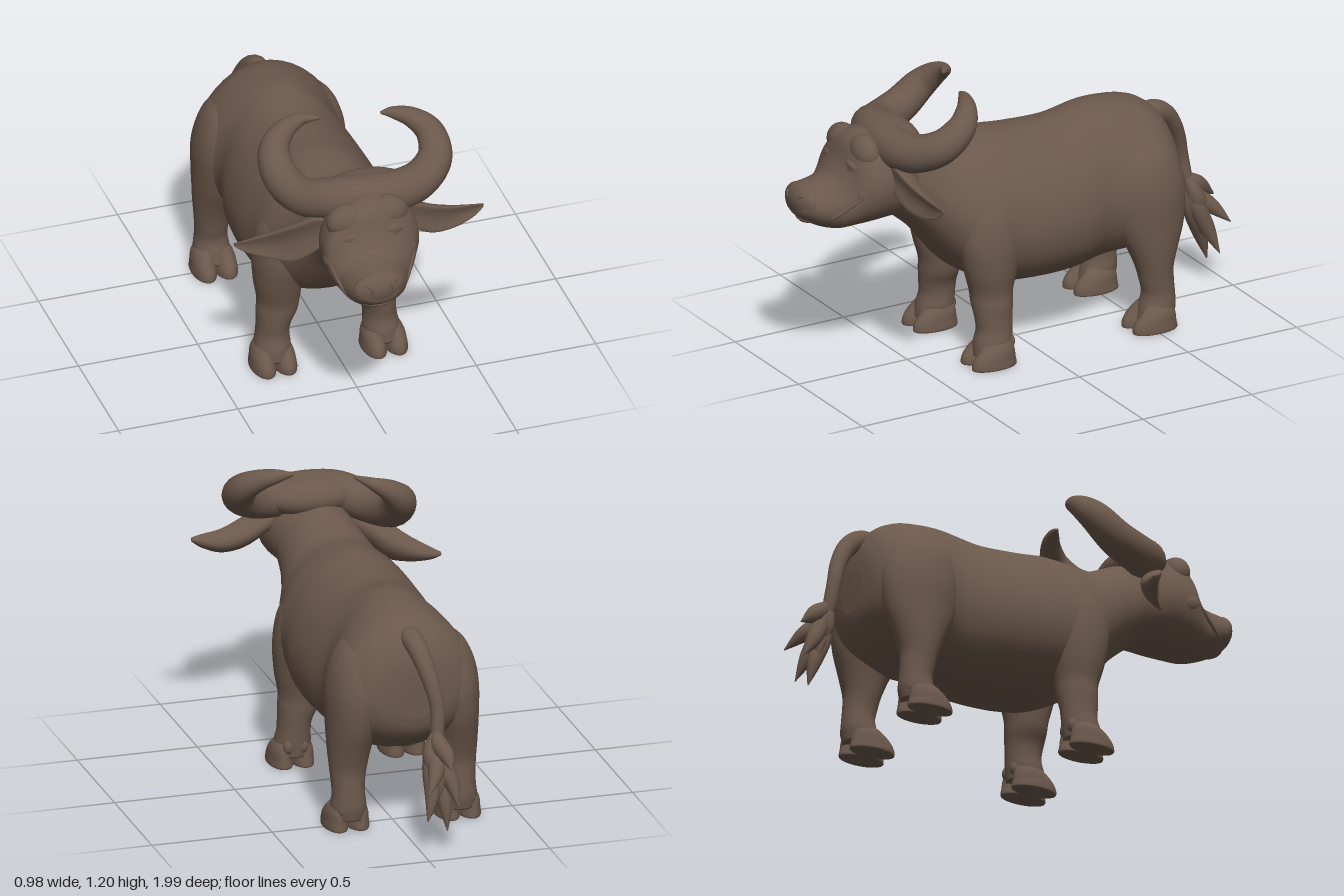
import * as THREE from 'three';

const V = (x, y, z) => new THREE.Vector3(x, y, z);
const hide = new THREE.MeshStandardMaterial({ color: 0x6b584b });
hide.name = 'brown hide';
const MID = -0.035; // the body stands slightly to one side

// Smoothly interpolate rows of numbers
function smooth(rows, steps = 5) {
  const out = [];
  for (let i = 0; i < rows.length - 1; i++) {
    const p = [rows[Math.max(i - 1, 0)], rows[i], rows[i + 1], rows[Math.min(i + 2, rows.length - 1)]];
    for (let s = 0; s < steps; s++) {
      const t = s / steps;
      out.push(rows[i].map((_, k) => {
        const [a, b, c, d] = p.map(r => r[k]);
        return b + 0.5 * t * (c - a + t * (2 * a - 5 * b + 4 * c - d + t * (3 * (b - c) + d - a)));
      }));
    }
  }
  out.push(rows[rows.length - 1]);
  return out;
}

// Skin a closed surface over rings of points, always facing outward
function loft(name, rings) {
  const n = rings[0].length, pts = rings.flat(), idx = [];
  for (let i = 0; i < rings.length - 1; i++) {
    for (let j = 0; j < n; j++) {
      const a = i * n + j, b = i * n + (j + 1) % n;
      idx.push(a, b, a + n, b, b + n, a + n);
    }
  }
  [0, rings.length - 1].forEach(r => {
    const c = pts.length;
    pts.push(rings[r].reduce((s, p) => s.add(p), V(0, 0, 0)).divideScalar(n));
    for (let j = 0; j < n; j++) {
      const a = r * n + j, b = r * n + (j + 1) % n;
      if (r === 0) idx.push(c, b, a); else idx.push(c, a, b);
    }
  });
  let volume = 0;
  for (let i = 0; i < idx.length; i += 3) {
    volume += pts[idx[i]].dot(V(0, 0, 0).crossVectors(pts[idx[i + 1]], pts[idx[i + 2]]));
  }
  if (volume < 0) idx.reverse();
  const g = new THREE.BufferGeometry().setFromPoints(pts);
  g.setIndex(idx);
  g.computeVertexNormals();
  const m = new THREE.Mesh(g, hide);
  m.name = name;
  return m;
}

const circle = (n, f) => Array.from({ length: n }, (_, j) => f(Math.cos(j / n * 2 * Math.PI), Math.sin(j / n * 2 * Math.PI)));

// Loft along z; rows are [z, centreX, top, bottom, halfWidth]
const alongZ = (name, rows, taper) => loft(name, smooth(rows).map(([z, x, top, bot, w]) =>
  circle(36, (c, s) => V(x + w * c * (1 - taper * s), (top + bot) / 2 + (top - bot) / 2 * s, z))));

// Loft along y; rows are [y, x, z, radiusX, radiusZ]
const alongY = (name, rows) => loft(name, smooth(rows).map(([y, x, z, rx, rz]) =>
  circle(24, (c, s) => V(x + rx * c, y, z + rz * s))));

// Tapered round tube; rows are [x, y, z, radius]
function tapered(name, rows, n = 16, steps = 6) {
  const path = smooth(rows, steps), P = path.map(r => V(r[0], r[1], r[2]));
  let u = null;
  return loft(name, path.map((r, i) => {
    const t = P[Math.min(i + 1, P.length - 1)].clone().sub(P[Math.max(i - 1, 0)]).normalize();
    if (!u) u = Math.abs(t.y) < 0.8 ? V(0, 1, 0) : V(0, 0, 1);
    u = u.clone().addScaledVector(t, -u.dot(t)).normalize();
    const v = t.clone().cross(u);
    return circle(n, (c, s) => P[i].clone().addScaledVector(u, r[3] * c).addScaledVector(v, r[3] * s));
  }));
}

function ball(name, pos, size, roll = 0) {
  const m = new THREE.Mesh(new THREE.SphereGeometry(1, 24, 16), hide);
  m.name = name;
  m.position.set(...pos);
  m.scale.set(...size);
  m.rotation.z = roll;
  return m;
}

// Cupped leaf ear, edges curling forward; rows are [x, y, z, halfHeight, thickness]
const ear = (name, rows) => loft(name, smooth(rows).map(([x, y, z, h, t]) =>
  circle(24, (c, s) => V(x, y + h * c, z + t * s + 0.6 * h * (c * c - 0.5)))));

// Leg with a cloven hoof and dewclaws
function leg(name, side, rows, hoofZ) {
  const g = new THREE.Group();
  g.name = name;
  const X = x => MID + side * (x - MID);
  g.add(alongY(name + 'Limb', rows.map(([y, x, ...r]) => [y, X(x), ...r])));
  for (const d of [-1, 1]) {
    const x = X(0.197 + d * 0.044);
    g.add(alongY('hoofToe', [
      [0.004, x, hoofZ, 0.036, 0.085], [0.008, x, hoofZ, 0.049, 0.099], [0.04, x, hoofZ, 0.047, 0.094],
      [0.075, x, hoofZ - 0.012, 0.042, 0.077], [0.105, X(0.197 + d * 0.036), hoofZ - 0.022, 0.034, 0.058],
      [0.13, X(0.197 + d * 0.025), hoofZ - 0.03, 0.015, 0.03]]));
    g.add(ball('dewclaw', [X(0.197 + d * 0.03), 0.095, hoofZ - 0.08], [0.022, 0.03, 0.02]));
  }
  return g;
}

export function createModel() {
  const model = new THREE.Group();
  model.name = 'buffalo';

  // Torso and neck
  model.add(alongZ('body', [
    [-0.70, MID, 0.68, 0.50, 0.08], [-0.685, MID, 0.77, 0.44, 0.165], [-0.64, MID, 0.85, 0.385, 0.242],
    [-0.56, MID, 0.903, 0.335, 0.29], [-0.45, MID, 0.925, 0.295, 0.29], [-0.33, MID, 0.93, 0.28, 0.264],
    [-0.18, MID, 0.90, 0.26, 0.294], [0, MID, 0.905, 0.26, 0.303], [0.12, MID, 0.918, 0.275, 0.292],
    [0.22, MID, 0.91, 0.315, 0.285], [0.32, MID, 0.90, 0.38, 0.25], [0.40, -0.03, 0.93, 0.47, 0.21],
    [0.48, -0.02, 0.97, 0.565, 0.18], [0.58, -0.01, 1.0, 0.65, 0.16], [0.66, 0, 0.98, 0.69, 0.12]], 0.15));

  // Legs, mirrored about the middle of the body
  const fore = [[0.05, 0.195, 0.225, 0.07, 0.08], [0.10, 0.193, 0.22, 0.074, 0.08], [0.15, 0.19, 0.212, 0.068, 0.075],
    [0.20, 0.185, 0.212, 0.07, 0.079], [0.255, 0.172, 0.212, 0.083, 0.085], [0.31, 0.165, 0.212, 0.087, 0.09],
    [0.40, 0.168, 0.215, 0.098, 0.112], [0.52, 0.165, 0.215, 0.105, 0.135], [0.64, 0.15, 0.21, 0.1, 0.13],
    [0.72, 0.12, 0.2, 0.085, 0.1], [0.78, 0.08, 0.19, 0.04, 0.05]];
  const hind = [[0.05, 0.195, -0.525, 0.07, 0.078], [0.10, 0.195, -0.535, 0.073, 0.076], [0.15, 0.195, -0.54, 0.067, 0.068],
    [0.20, 0.195, -0.533, 0.068, 0.071], [0.26, 0.192, -0.525, 0.076, 0.078], [0.34, 0.187, -0.52, 0.087, 0.105],
    [0.45, 0.175, -0.512, 0.102, 0.15], [0.58, 0.16, -0.505, 0.118, 0.17], [0.69, 0.137, -0.5, 0.118, 0.155],
    [0.77, 0.105, -0.5, 0.1, 0.12], [0.83, 0.06, -0.49, 0.04, 0.05]];
  for (const [word, side] of [['Left', 1], ['Right', -1]]) {
    model.add(leg('front' + word + 'Leg', side, fore, 0.24));
    model.add(leg('rear' + word + 'Leg', side, hind, -0.5));
  }

  // Head, turned a little to its right
  const head = new THREE.Group();
  head.name = 'head';
  model.add(head);
  head.add(alongZ('skull', [
    [0.48, 0, 0.96, 0.72, 0.11], [0.56, -0.005, 1.01, 0.67, 0.165], [0.66, -0.015, 1.04, 0.66, 0.198],
    [0.73, -0.02, 1.035, 0.655, 0.202], [0.775, -0.03, 1.0, 0.648, 0.19], [0.805, -0.035, 0.925, 0.645, 0.172],
    [0.84, -0.04, 0.872, 0.643, 0.15], [0.88, -0.05, 0.852, 0.65, 0.133], [0.93, -0.055, 0.842, 0.672, 0.118],
    [0.965, -0.06, 0.835, 0.695, 0.098], [0.985, -0.06, 0.81, 0.715, 0.07], [0.992, -0.06, 0.785, 0.745, 0.03]], 0.08));
  head.add(ball('nosePad', [-0.06, 0.77, 0.948], [0.108, 0.07, 0.05], 0.08));
  for (const [x, y, s] of [[-0.115, 0.78, -1], [-0.005, 0.79, 1]]) {
    const nostril = new THREE.Mesh(new THREE.TorusGeometry(0.018, 0.006, 10, 24), hide);
    nostril.name = 'nostril';
    nostril.position.set(x, y, 0.982);
    nostril.rotation.y = s * 0.6;
    head.add(nostril);
  }
  head.add(tapered('mouth', [[-0.212, 0.81, 0.79, 0.004], [-0.181, 0.73, 0.875, 0.009], [-0.13, 0.70, 0.932, 0.01],
    [-0.06, 0.69, 0.957, 0.01], [0.01, 0.70, 0.938, 0.01], [0.081, 0.73, 0.875, 0.009], [0.146, 0.81, 0.79, 0.004]], 8));
  for (const [x, y, s] of [[-0.12, 0.908, -1], [0.05, 0.918, 1]]) {
    head.add(ball('brow', [x, y + 0.05, 0.725], [0.085, 0.07, 0.058], s * -0.2));
    head.add(ball('eye', [x, y - 0.012, 0.77], [0.045, 0.03, 0.035]));
    head.add(ball('eyelid', [x, y + 0.004, 0.768], [0.055, 0.026, 0.036], s * -0.2));
    head.add(ball('cheek', [-0.033 + s * 0.155, y - 0.1, 0.755], [0.04, 0.045, 0.05]));
  }

  // Both horns and the boss between them
  head.add(tapered('horns', [
    [-0.085, 1.165, 0.285, 0.006], [-0.15, 1.143, 0.24, 0.026], [-0.22, 1.105, 0.24, 0.046], [-0.275, 1.045, 0.28, 0.064],
    [-0.275, 0.975, 0.375, 0.074], [-0.225, 0.955, 0.5, 0.078], [-0.12, 0.985, 0.595, 0.084], [0, 0.99, 0.62, 0.088],
    [0.13, 0.985, 0.62, 0.084], [0.24, 0.998, 0.585, 0.078], [0.32, 1.045, 0.52, 0.07], [0.325, 1.11, 0.44, 0.058],
    [0.27, 1.155, 0.385, 0.042], [0.2, 1.175, 0.355, 0.025], [0.15, 1.178, 0.345, 0.006]], 20));
  head.add(ball('hornBoss', [0, 0.99, 0.595], [0.2, 0.083, 0.115]));

  // Ears
  head.add(ear('rightEar', [[-0.15, 0.87, 0.61, 0.04, 0.035], [-0.21, 0.838, 0.585, 0.078, 0.042], [-0.29, 0.783, 0.54, 0.083, 0.036],
    [-0.37, 0.752, 0.488, 0.058, 0.026], [-0.45, 0.737, 0.45, 0.029, 0.014], [-0.492, 0.738, 0.432, 0.008, 0.005]]));
  head.add(ear('leftEar', [[0.12, 0.9, 0.645, 0.035, 0.035], [0.19, 0.875, 0.64, 0.062, 0.042], [0.27, 0.837, 0.63, 0.063, 0.036],
    [0.36, 0.818, 0.618, 0.05, 0.026], [0.44, 0.826, 0.62, 0.03, 0.014], [0.488, 0.84, 0.62, 0.008, 0.005]]));

  // Tail and its tuft of hair
  model.add(tapered('tail', [[-0.03, 0.77, -0.54, 0.03], [-0.03, 0.822, -0.625, 0.043], [-0.04, 0.805, -0.69, 0.043],
    [-0.055, 0.75, -0.745, 0.038], [-0.075, 0.67, -0.787, 0.033], [-0.09, 0.58, -0.813, 0.029],
    [-0.085, 0.48, -0.83, 0.028], [-0.07, 0.38, -0.85, 0.02]]));
  const tips = [[-0.095, 0.1, -0.935], [-0.01, 0.15, -0.945], [-0.13, 0.21, -0.975], [0.0, 0.28, -0.99],
    [-0.07, 0.25, -0.93], [-0.1, 0.37, -0.97], [-0.03, 0.2, -0.9], [-0.12, 0.22, -0.9]];
  const tuft = new THREE.Group();
  tuft.name = 'tailTuft';
  model.add(tuft);
  tips.forEach(([x, y, z], i) => {
    const bx = -0.07 + 0.02 * Math.sin(i * 2), top = 0.49;
    tuft.add(tapered('hairLock', [[-0.08, top, -0.83, 0.014], [bx, top * 0.65 + y * 0.35, -0.845 - i % 3 * 0.012, 0.035],
      [(bx + x) / 2 - 0.01, top * 0.3 + y * 0.7, (z - 0.87) / 2, 0.031], [x, y, z, 0.002]], 10));
  });
  return model;
}
